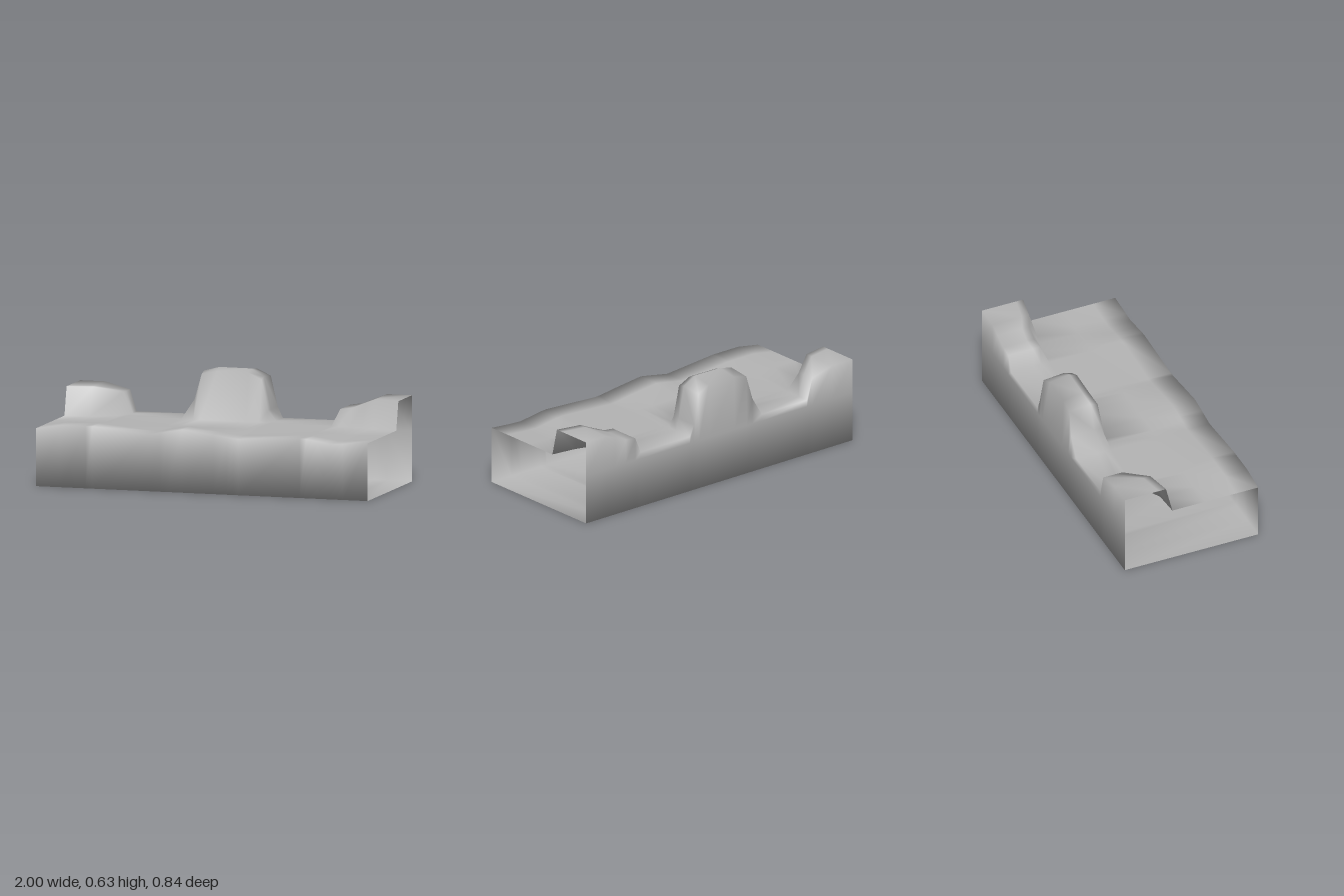
import * as THREE from 'three';

const BASE = 0.335, Z = 0.42;

// Cross-sections along x: [x, front rim height, mound height, mound foot z, mound brow z]
const SECTIONS = [
  [-1.0, 0.335, 0.5, -0.12, -0.16],
  [-0.85, 0.36, 0.5, -0.13, -0.19],
  [-0.7, 0.36, 0.46, -0.21, -0.3],
  [-0.66, 0.36, BASE, -0.22, -0.3],
  [-0.32, 0.33, BASE, -0.2, -0.24],
  [-0.25, 0.342, 0.45, -0.2, -0.23],
  [-0.21, 0.35, 0.61, -0.2, -0.235],
  [-0.12, 0.365, 0.633, -0.2, -0.245],
  [0.07, 0.343, 0.633, -0.2, -0.24],
  [0.15, 0.332, 0.59, -0.2, -0.24],
  [0.19, 0.327, 0.4, -0.2, -0.24],
  [0.22, 0.325, BASE, -0.2, -0.25],
  [0.59, 0.345, BASE, -0.18, -0.23],
  [0.63, 0.342, 0.43, -0.18, -0.22],
  [0.7, 0.332, 0.44, -0.17, -0.225],
  [0.78, 0.32, 0.472, -0.16, -0.22],
  [0.85, 0.323, 0.5, -0.14, -0.19],
  [1.0, 0.335, 0.5, -0.12, -0.16],
];

// Closed profile as [y, z]: up the front, over the top and down the back
function profile([, rim, h, foot, brow]) {
  const drop = Math.max(0, h - 0.5) * 0.14;
  return [
    [0, Z], [rim, Z],
    [rim, 0.28], [Math.min(BASE, rim + 0.007), 0.09], [BASE, foot],
    [h - drop, brow], [h, brow - 0.045], [h - drop, -Z + drop * 0.5],
    [BASE * 0.88, -Z], [0, -Z],
  ];
}

// Joins neighbouring cross-sections into one smooth tube, underside included
function loft(sections) {
  const points = [], index = [];
  const n = profile(sections[0]).length;
  sections.forEach((s, i) => {
    profile(s).forEach(([y, z], j) => {
      points.push(s[0], y, z);
      if (i + 1 < sections.length) {
        const a = i * n + j, d = i * n + (j + 1) % n;
        index.push(a, a + n, d + n, a, d + n, d);
      }
    });
  });
  const g = new THREE.BufferGeometry();
  g.setAttribute('position', new THREE.Float32BufferAttribute(points, 3));
  g.setIndex(index);
  g.computeVertexNormals();
  return g;
}

export function createModel() {
  const group = new THREE.Group();
  group.name = 'terrainEdge';

  // Ground block with three mounds along the back; both ends stay open
  const ground = new THREE.Mesh(
    loft(SECTIONS),
    new THREE.MeshStandardMaterial({ color: 0xb4b4b4, side: THREE.DoubleSide }),
  );
  ground.name = 'groundShell';
  group.add(ground);

  return group;
}
